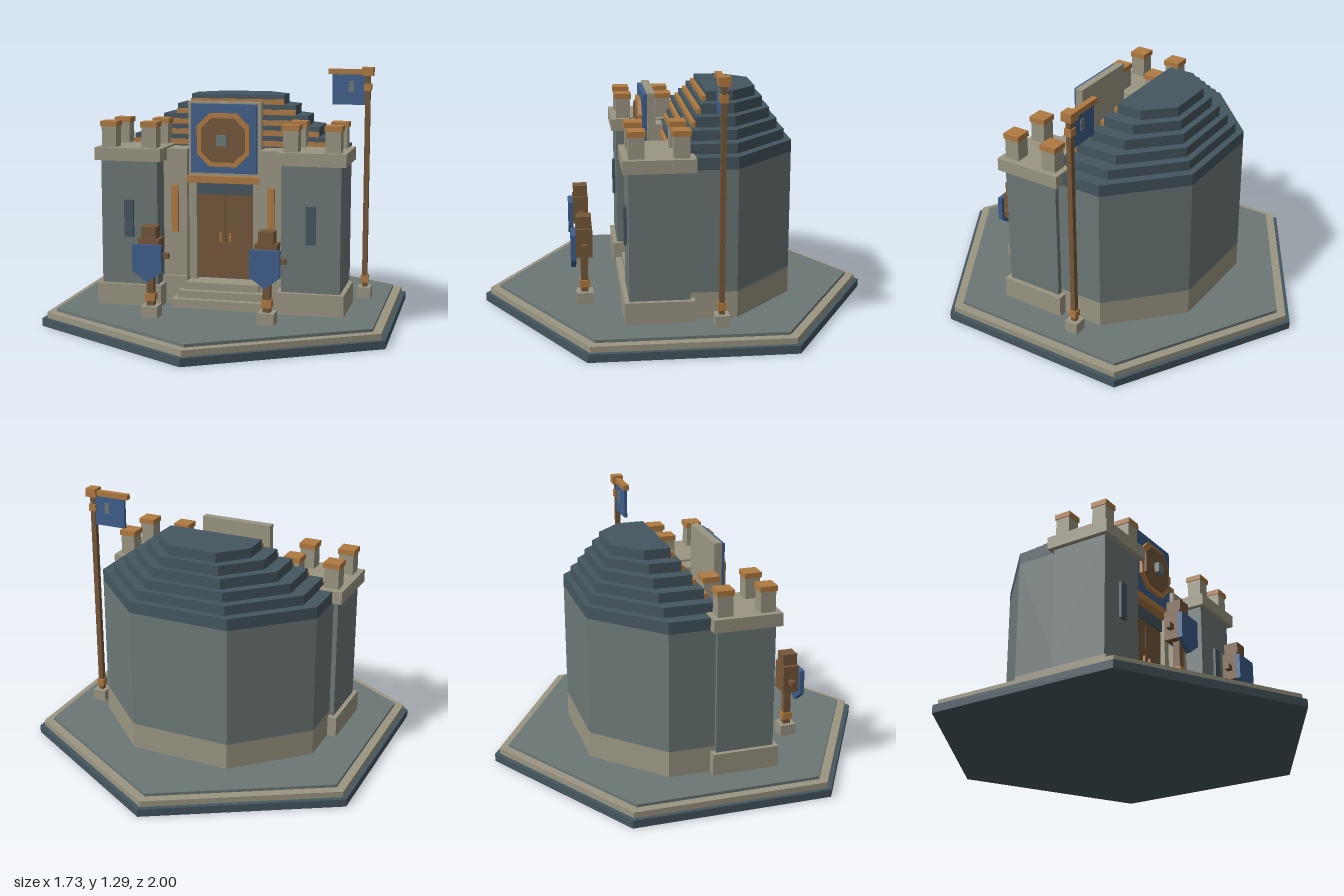
import * as THREE from 'three';

const paint = (name, color) => {
  const m = new THREE.MeshStandardMaterial({ color });
  m.name = name;
  return m;
};

export function createModel() {
  const slate = paint('dark slate', 0x45565f);
  const grey = paint('grey stone', 0x6c7876);
  const light = paint('light stone', 0x9b9683);
  const copper = paint('copper', 0xb07a41);
  const wood = paint('brown wood', 0x755739);
  const blue = paint('blue cloth', 0x3e5f8c);

  const model = new THREE.Group();
  model.name = 'fortifiedHall';

  const group = (name, x = 0, z = 0, parent = model) => {
    const g = new THREE.Group();
    g.name = name;
    g.position.set(x, 0, z);
    parent.add(g);
    return g;
  };
  const add = (parent, name, geo, mat) => {
    const mesh = new THREE.Mesh(geo, mat);
    mesh.name = name;
    parent.add(mesh);
    return mesh;
  };
  // Box given by its limits on each axis
  const box = (parent, name, mat, x0, x1, y0, y1, z0, z1) =>
    add(parent, name, new THREE.BoxGeometry(x1 - x0, y1 - y0, z1 - z0)
      .translate((x0 + x1) / 2, (y0 + y1) / 2, (z0 + z1) / 2), mat);
  // Square post centred on its group
  const post = (parent, name, mat, w, y0, y1, d = w) =>
    box(parent, name, mat, -w / 2, w / 2, y0, y1, -d / 2, d / 2);
  const shapeOf = (pts) => new THREE.Shape(pts.map(([a, b]) => new THREE.Vector2(a, b)));
  // Upright prism over a plan of [x, z] points
  const prism = (parent, name, mat, plan, y0, y1) =>
    add(parent, name, new THREE.ExtrudeGeometry(shapeOf(plan.map(([x, z]) => [x, -z])),
      { depth: y1 - y0, bevelEnabled: false }).rotateX(-Math.PI / 2).translate(0, y0, 0), mat);
  // Plate facing the front, cut from [x, y] points
  const plate = (parent, name, mat, pts, z0, z1) =>
    add(parent, name, new THREE.ExtrudeGeometry(shapeOf(pts),
      { depth: z1 - z0, bevelEnabled: false }).translate(0, 0, z0), mat);

  // Stepped hexagonal platform
  const hex = (r) => Array.from({ length: 6 }, (_, i) =>
    [r * Math.sin(i * Math.PI / 3), r * Math.cos(i * Math.PI / 3)]);
  const platform = group('platform');
  prism(platform, 'foundation', slate, hex(1), 0, 0.04);
  prism(platform, 'kerb', light, hex(0.975), 0.04, 0.07);
  prism(platform, 'paving', grey, hex(0.925), 0.07, 0.085);

  // Hall with a chamfered back
  const hallPlan = (w, back, backW, front, side = -0.24) => [
    [-w, front], [w, front], [w, side], [backW, back], [-backW, back], [-w, side]];
  const hall = group('hall');
  const plan = hallPlan(0.59, -0.555, 0.26, 0);
  prism(hall, 'hallPlinth', light, plan, 0.085, 0.22);
  prism(hall, 'hallWall', grey, plan, 0.22, 0.83);

  // Stepped roof with copper trims along the front
  const roof = group('roof');
  const levels = [0.83, 0.89, 0.94, 0.99, 1.042, 1.093, 1.143];
  for (let i = 0; i < 6; i++) {
    const w = 0.59 - i * 0.068;
    const front = 0.045 - i * 0.034;
    prism(roof, 'roofTier', slate,
      hallPlan(w, -0.555 + i * 0.033, 0.26 - i * 0.027, front, -0.24 - i * 0.004), levels[i], levels[i + 1]);
    box(roof, 'roofTrim', copper, -w, w, levels[i], levels[i] + 0.026, front, front + 0.018);
  }

  for (const s of [-1, 1]) {
    // Corner tower with four capped merlons
    const tower = group(s > 0 ? 'leftTower' : 'rightTower', s * 0.467, 0.14);
    post(tower, 'towerBase', light, 0.34, 0.085, 0.195);
    post(tower, 'towerShaft', grey, 0.295, 0.195, 0.83);
    post(tower, 'towerCap', light, 0.347, 0.83, 0.895);
    box(tower, 'towerWindow', slate, -0.024, 0.024, 0.44, 0.63, 0.147, 0.162);
    for (const x of [-0.105, 0.105]) for (const z of [-0.107, 0.107]) {
      const merlon = group('merlon', x, z, tower);
      post(merlon, 'merlonBlock', light, 0.076, 0.895, 1.0);
      post(merlon, 'merlonCap', copper, 0.087, 1.0, 1.027);
    }

    // Pier beside the door
    const pier = group(s > 0 ? 'leftPier' : 'rightPier', s * 0.25, 0);
    box(pier, 'pierShaft', light, -0.062, 0.062, 0.085, 0.885, 0, 0.195);
    box(pier, 'pierBase', light, -0.065, 0.065, 0.085, 0.23, 0, 0.215);
    box(pier, 'pierStrip', copper, -0.017, 0.017, 0.46, 0.7, 0.195, 0.21);

    // Banner post on the forecourt
    const stand = group(s > 0 ? 'leftBannerPost' : 'rightBannerPost', s * 0.292, 0.49);
    post(stand, 'postFoot', light, 0.083, 0.085, 0.143);
    post(stand, 'postShaft', wood, 0.036, 0.143, 0.34);
    post(stand, 'postCollar', copper, 0.05, 0.167, 0.205);
    post(stand, 'postHead', wood, 0.11, 0.335, 0.48, 0.082);
    post(stand, 'postTop', wood, 0.075, 0.48, 0.54);
    post(stand, 'crossPeg', wood, 0.185, 0.38, 0.407, 0.025);
    plate(stand, 'shieldBanner', blue,
      [[-0.074, 0.455], [-0.074, 0.325], [0, 0.27], [0.074, 0.325], [0.074, 0.455]], 0.041, 0.066);

    // Door leaf and handle
    const leaf = group('doorLeaf', s * 0.074, 0);
    box(leaf, 'doorPanel', wood, -0.073, 0.073, 0.215, 0.65, 0.1, 0.135);
    const hx = -s * 0.049;
    box(leaf, 'doorHandle', copper, hx - 0.005, hx + 0.005, 0.405, 0.45, 0.135, 0.148);
  }

  // Entrance
  const entrance = group('entrance');
  box(entrance, 'portalWall', slate, -0.19, 0.19, 0.085, 0.715, 0, 0.11);
  box(entrance, 'doorHeader', slate, -0.188, 0.188, 0.65, 0.715, 0.1, 0.145);
  for (const s of [-1, 1]) {
    box(entrance, 'doorJamb', light, s * 0.169 - 0.021, s * 0.169 + 0.021, 0.085, 0.715, 0.1, 0.16);
  }
  box(entrance, 'lintel', copper, -0.188, 0.188, 0.715, 0.75, 0, 0.195);
  for (let i = 0; i < 3; i++) {
    const w = 0.245 - i * 0.025;
    box(entrance, 'step', light, -w, w, 0.085, 0.13 + i * 0.038, 0, 0.302 - i * 0.033);
  }

  // Emblem panel above the door
  const octagon = (r, c) => [[r, -c], [r, c], [c, r], [-c, r], [-r, c], [-r, -c], [-c, -r], [c, -r]]
    .map(([x, y]) => [x, y + 0.935]);
  const sign = group('emblemPanel');
  box(sign, 'panelSlab', light, -0.19, 0.19, 0.75, 1.125, 0.12, 0.16);
  box(sign, 'panelCloth', blue, -0.17, 0.17, 0.765, 1.115, 0.16, 0.182);
  plate(sign, 'emblemRing', copper, octagon(0.135, 0.07), 0.182, 0.2);
  plate(sign, 'emblemDisc', wood, octagon(0.111, 0.057), 0.2, 0.21);
  box(sign, 'emblemStud', grey, -0.027, 0.027, 0.908, 0.962, 0.21, 0.235);

  // Flagpole
  const flag = group('flagpole', 0.682, -0.15);
  post(flag, 'poleFoot', light, 0.07, 0.085, 0.143);
  post(flag, 'pole', wood, 0.026, 0.143, 1.25);
  for (const y of [0.165, 1.17]) post(flag, 'poleCollar', copper, 0.038, y, y + 0.038);
  post(flag, 'poleTop', copper, 0.058, 1.248, 1.292);
  box(flag, 'flagArm', copper, -0.205, 0, 1.254, 1.281, -0.015, 0.015);
  box(flag, 'flagCloth', blue, -0.183, -0.005, 1.098, 1.254, -0.008, 0.008);
  box(flag, 'flagEmblem', grey, -0.098, -0.071, 1.165, 1.22, -0.013, 0.013);

  return model;
}
